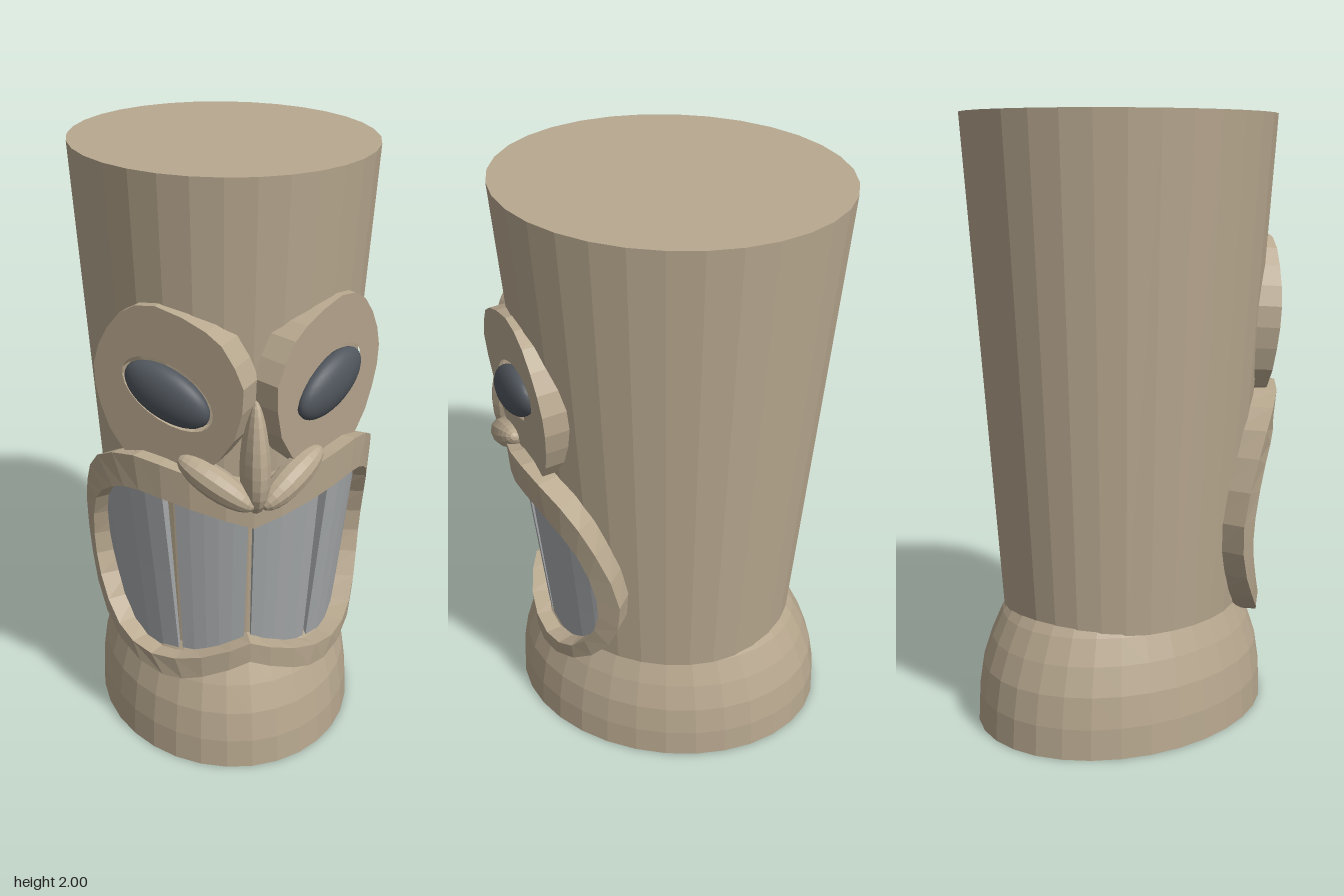
import * as THREE from 'three';

const wood = new THREE.MeshStandardMaterial({ color: 0xb8a88f, flatShading: true });
const toothMat = new THREE.MeshStandardMaterial({ color: 0xa6a9ab, flatShading: true });
const eyeMat = new THREE.MeshStandardMaterial({ color: 0x51575e });
const CX = -0.005, CZ = -0.04, RATIO = 0.877;
const lerp = THREE.MathUtils.lerp;

// Point on the tapered oval trunk: angle from the front, height, distance above the surface
function onTrunk(angle, y, d) {
  const rz = 0.403 + 0.076 * y;
  return new THREE.Vector3(CX + (rz * RATIO + d * 1.12) * Math.sin(angle), y, CZ + (rz + d) * Math.cos(angle));
}

function add(parent, name, geometry, material) {
  const mesh = new THREE.Mesh(geometry, material);
  mesh.name = name;
  parent.add(mesh);
  return mesh;
}

// Smooth half outline (angle, y), mirrored into a closed loop
function mirroredLoop(pairs, n) {
  const half = new THREE.SplineCurve(pairs.map(p => new THREE.Vector2(...p))).getPoints(n);
  return [...half, ...half.slice(1, -1).reverse().map(p => new THREE.Vector2(-p.x, p.y))];
}

// Raised lip between two loops, wrapped around the trunk
function lipGeometry(outer, inner, d) {
  const sections = [[outer, -0.03], [outer, d], [inner, d], [inner, -0.03]];
  const n = outer.length, pos = [], index = [];
  for (const [loop, h] of sections) for (const p of loop) pos.push(...onTrunk(p.x, p.y, h).toArray());
  for (let k = 0; k < 3; k++) {
    for (let i = 0; i < n; i++) {
      const j = (i + 1) % n, a = k * n + i, b = a + n, c = (k + 1) * n + j, e = k * n + j;
      index.push(a, b, c, a, c, e);
    }
  }
  const g = new THREE.BufferGeometry();
  g.setAttribute('position', new THREE.Float32BufferAttribute(pos, 3));
  g.setIndex(index);
  g.computeVertexNormals();
  return g;
}

// Tooth: a box bent onto the trunk; its ends are [bottom, top] angles
function toothGeometry(start, end) {
  const g = new THREE.BoxGeometry(1, 1, 1, 5, 4, 1);
  const p = g.attributes.position;
  for (let i = 0; i < p.count; i++) {
    const u = p.getX(i) + 0.5, v = p.getY(i) + 0.5, w = p.getZ(i) + 0.5;
    const angle = lerp(lerp(start[0], start[1], v), lerp(end[0], end[1], v), u);
    const t = Math.abs(angle);
    const half = (0.28 + 0.06 * Math.min(t / 0.5, 1)) * Math.sqrt(1 - (t / 1.42) ** 4);
    const q = onTrunk(angle, 0.68 + (v * 2 - 1) * half, w ? lerp(0.012, 0.03, v) : -0.03);
    p.setXYZ(i, q.x, q.y, q.z);
  }
  g.computeVertexNormals();
  return g;
}

// Flat eye plate with an oval hole; s is the side
function plateGeometry(s) {
  const outline = [[-0.265, 0.07], [-0.21, 0.18], [-0.12, 0.24], [0.03, 0.28], [0.14, 0.245], [0.22, 0.15],
    [0.262, 0.04], [0.25, -0.08], [0.2, -0.2], [0.1, -0.28], [-0.03, -0.28], [-0.14, -0.22], [-0.24, -0.08]];
  const curve = new THREE.SplineCurve([...outline, outline[0]].map(([u, v]) => new THREE.Vector2(s * u, v)));
  const shape = new THREE.Shape(curve.getPoints(22).slice(0, -1));
  const hole = new THREE.Path();
  hole.absellipse(0, 0, 0.165, 0.1, 0, Math.PI * 2, true, s * 0.38);
  shape.holes.push(hole);
  return new THREE.ExtrudeGeometry(shape, { depth: 0.09, bevelEnabled: false, curveSegments: 12 })
    .translate(0, 0, -0.09);
}

export function createModel() {
  const model = new THREE.Group();
  model.name = 'carvedTotemCup';

  // Trunk and flared foot
  const trunk = add(model, 'trunk', new THREE.CylinderGeometry(0.555, 0.431, 1.63, 32), wood);
  trunk.scale.x = RATIO;
  trunk.position.set(CX, 1.185, CZ);
  const footProfile = [[0, 0], [0.555, 0], [0.55, 0.1], [0.533, 0.2], [0.5, 0.29], [0.46, 0.37], [0.425, 0.42], [0, 0.42]];
  const foot = add(model, 'foot',
    new THREE.LatheGeometry(footProfile.map(p => new THREE.Vector2(...p)), 32), wood);
  foot.scale.x = 0.8;
  foot.position.set(CX, 0, CZ + 0.005);

  // Mouth
  const outer = mirroredLoop([[0, 1.04], [0.4, 1.085], [0.77, 1.115], [1.12, 1.05], [1.35, 0.9], [1.49, 0.69],
    [1.39, 0.5], [1.07, 0.35], [0.66, 0.288], [0.35, 0.315], [0, 0.38]], 20);
  const inner = mirroredLoop([[0, 0.9], [0.4, 0.965], [0.75, 0.995], [0.98, 0.965], [1.21, 0.87], [1.33, 0.7],
    [1.29, 0.55], [1.07, 0.41], [0.75, 0.36], [0.35, 0.395], [0, 0.455]], 20);
  add(model, 'lips', lipGeometry(outer, inner, 0.07), wood);

  const teeth = new THREE.Group();
  teeth.name = 'teeth';
  model.add(teeth);
  for (const [a, b] of [[[0.03, 0.02], [0.55, 0.54]], [[0.585, 0.64], [1.36, 1.36]]]) {
    add(teeth, 'leftTooth', toothGeometry(a, b), toothMat);
    add(teeth, 'rightTooth', toothGeometry(b.map(t => -t), a.map(t => -t)), toothMat);
  }

  // Eyes and nostrils, one per side
  for (const s of [1, -1]) {
    const side = s > 0 ? 'left' : 'right';
    const eye = new THREE.Group();
    eye.name = side + 'Eye';
    eye.position.set(CX + s * 0.25, 1.33, 0.405);
    eye.rotation.set(0.07, s * 0.7, 0, 'YXZ');
    add(eye, 'eyePlate', plateGeometry(s), wood);
    const ball = add(eye, 'eyeball', new THREE.SphereGeometry(1, 28, 18), eyeMat);
    ball.scale.set(0.153, 0.085, 0.05);
    ball.rotation.z = s * 0.38;
    model.add(eye);

    const nostril = add(model, side + 'Nostril', new THREE.SphereGeometry(1, 12, 12), wood);
    nostril.scale.set(0.05, 0.14, 0.055);
    nostril.position.set(CX + s * 0.118, 1.065, 0.495);
    nostril.quaternion.setFromUnitVectors(new THREE.Vector3(0, 1, 0),
      new THREE.Vector3(s * 0.2, 0.12, -0.13).normalize());
  }

  // Nose bridge, slimmer toward the top
  const bridge = new THREE.SphereGeometry(1, 12, 14);
  const p = bridge.attributes.position;
  for (let i = 0; i < p.count; i++) {
    const k = 1 - 0.3 * p.getY(i);
    p.setXYZ(i, p.getX(i) * k, p.getY(i), p.getZ(i) * k);
  }
  bridge.scale(0.045, 0.185, 0.08);
  bridge.computeVertexNormals();
  add(model, 'noseBridge', bridge, wood).position.set(CX, 1.15, 0.51);

  return model;
}
